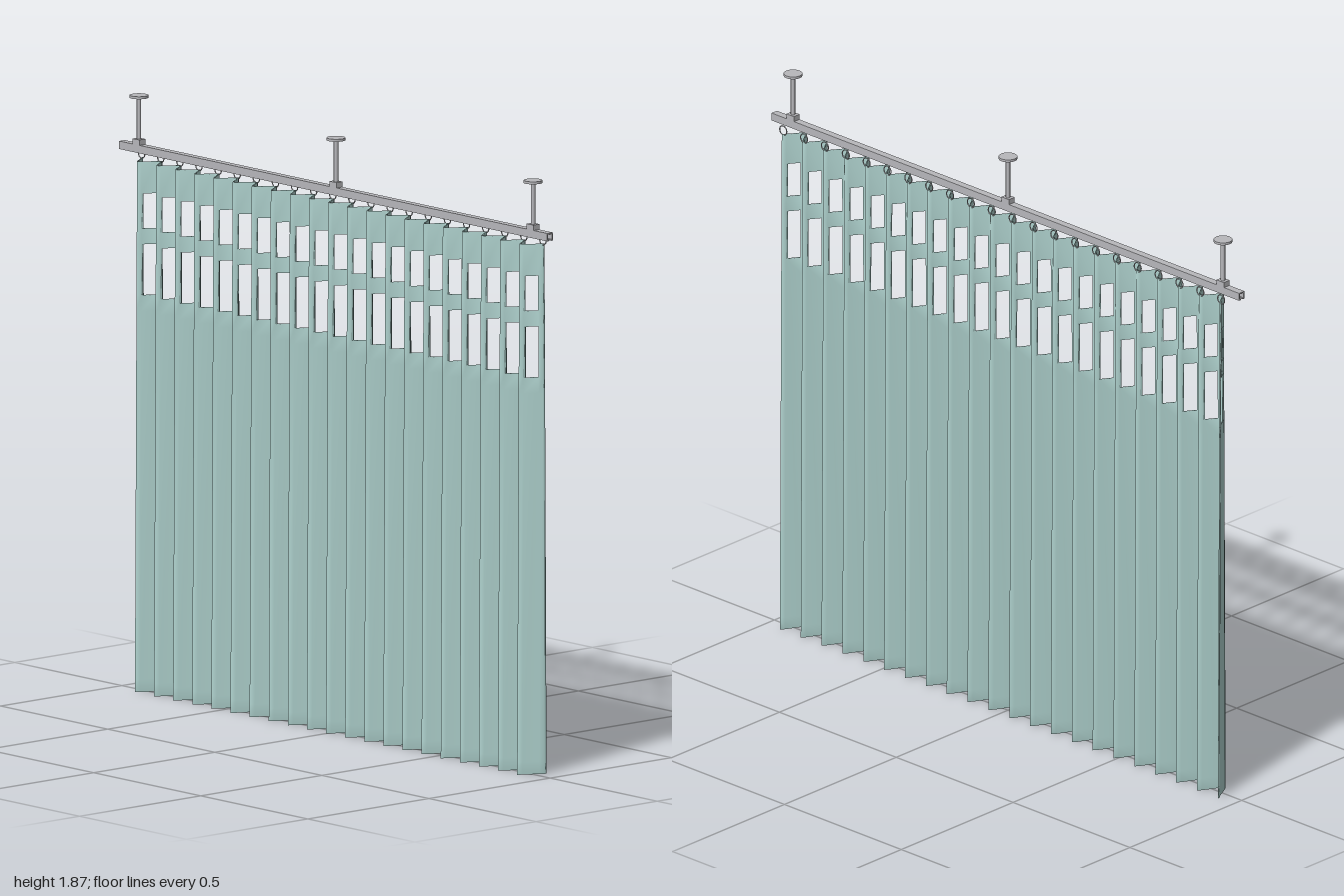
import * as THREE from 'three';

const fabric = new THREE.MeshStandardMaterial({ color: 0xb4d8d4 });
fabric.name = 'pale teal fabric';
const metal = new THREE.MeshStandardMaterial({ color: 0xb8b8bc });
metal.name = 'grey metal';

const HALF = 0.937;             // half width of the curtain
const PLEATS = 21;
const PITCH = (2 * HALF) / PLEATS;

function add(parent, name, geometry, material, x = 0, y = 0, z = 0) {
  const mesh = new THREE.Mesh(geometry, material);
  mesh.name = name;
  mesh.position.set(x, y, z);
  parent.add(mesh);
  return mesh;
}

// Pleated cloth with thickness, open in the middle of each pleat face on mesh rows
function clothGeometry() {
  const rows = [0, 0.04, 1.2, 1.25, 1.41, 1.46, 1.57, 1.67];
  const openRows = [3, 5];
  const steps = [[0, -1], [0.11, -0.65], [0.39, 0.65], [0.5, 1], [0.61, 0.65], [0.89, -0.65]];
  const columns = [];
  for (let p = 0; p < PLEATS; p++) {
    for (const [u, depth] of steps) columns.push([-HALF + (p + u) * PITCH, depth]);
  }
  columns.push([HALF, -1]);

  const positions = [];
  for (const side of [0.004, -0.004]) {
    for (const y of rows) {
      const depth = 0.037 - 0.0085 * (y / 1.67);
      for (const [x, d] of columns) positions.push(x, y, d * depth + side);
    }
  }

  const nc = columns.length, nr = rows.length, back = nc * nr;
  const solid = (c, r) => c >= 0 && r >= 0 && c < nc - 1 && r < nr - 1 &&
    !(openRows.includes(r) && c % 3 === 1);
  const index = [];
  const quad = (a, b, c, d) => index.push(a, b, c, a, c, d);
  for (let r = 0; r < nr - 1; r++) {
    for (let c = 0; c < nc - 1; c++) {
      if (!solid(c, r)) continue;
      const a = r * nc + c, b = a + 1, d = a + nc, e = d + 1;
      quad(a, b, e, d);
      quad(back + a, back + d, back + e, back + b);
      // Rim wherever the neighbouring cell is missing
      const rim = (p, q) => quad(p, back + p, back + q, q);
      if (!solid(c, r - 1)) rim(a, b);
      if (!solid(c + 1, r)) rim(b, e);
      if (!solid(c, r + 1)) rim(e, d);
      if (!solid(c - 1, r)) rim(d, a);
    }
  }
  const geometry = new THREE.BufferGeometry();
  geometry.setAttribute('position', new THREE.Float32BufferAttribute(positions, 3));
  geometry.setIndex(index);
  geometry.computeVertexNormals();
  return geometry;
}

// Track with a slot along its underside
function railGeometry() {
  const profile = [
    [-0.012, 0], [-0.004, 0], [-0.004, 0.004], [-0.008, 0.004], [-0.008, 0.021], [0.008, 0.021],
    [0.008, 0.004], [0.004, 0.004], [0.004, 0], [0.012, 0], [0.012, 0.025], [-0.012, 0.025],
  ].map(([x, y]) => new THREE.Vector2(x, y));
  const geometry = new THREE.ExtrudeGeometry(new THREE.Shape(profile), { depth: 2, bevelEnabled: false });
  return geometry.translate(0, 0, -1).rotateY(Math.PI / 2);
}

export function createModel() {
  const model = new THREE.Group();
  model.name = 'pleatedCurtain';

  add(model, 'curtain', clothGeometry(), fabric);
  add(model, 'rail', railGeometry(), metal, 0, 1.692, 0);

  // Ceiling supports
  const block = new THREE.BoxGeometry(0.032, 0.018, 0.026);
  const rod = new THREE.CylinderGeometry(0.007, 0.007, 0.14, 16);
  const plate = new THREE.CylinderGeometry(0.029, 0.029, 0.008, 32);
  for (const x of [-0.92, 0, 0.92]) {
    const support = new THREE.Group();
    support.name = 'ceilingSupport';
    support.position.x = x;
    add(support, 'clamp', block, metal, 0, 1.725, 0);
    add(support, 'rod', rod, metal, 0, 1.798, 0);
    add(support, 'ceilingPlate', plate, metal, 0, 1.868, 0);
    model.add(support);
  }

  // One ring at each rear fold
  const ring = new THREE.TorusGeometry(0.015, 0.0018, 8, 24);
  for (let i = 0; i <= PLEATS; i++) {
    add(model, 'curtainRing', ring, metal, -HALF + i * PITCH, 1.682, -0.026);
  }
  return model;
}
